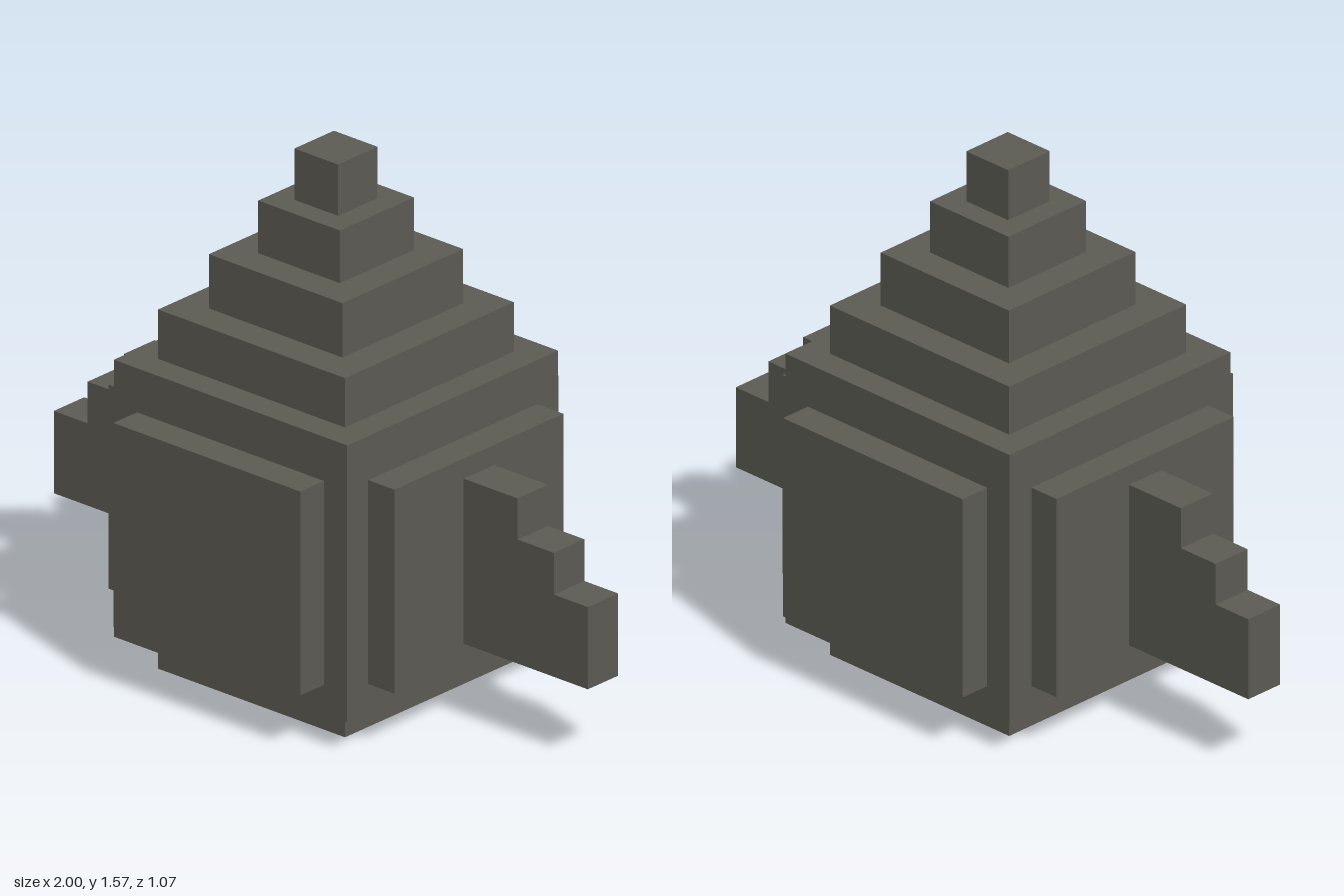
import * as THREE from 'three';

export function createModel() {
  const model = new THREE.Group();
  const stone = new THREE.MeshStandardMaterial({ color: 0x5c5b54 });
  stone.name = 'dark stone';

  // Box given by its lower and upper limits on each axis
  const block = (name, [x0, x1], [y0, y1], [z0, z1], parent = model) => {
    const mesh = new THREE.Mesh(new THREE.BoxGeometry(x1 - x0, y1 - y0, z1 - z0), stone);
    mesh.name = name;
    mesh.position.set((x0 + x1) / 2, (y0 + y1) / 2, (z0 + z1) / 2);
    parent.add(mesh);
  };

  // Square tiers from the base to the tip: name, half width, bottom, top
  const tiers = [
    ['base', 0.35, 0, 0.1],
    ['body', 0.437, 0.1, 0.942],
    ['lowerStep', 0.35, 0.942, 1.092],
    ['middleStep', 0.25, 1.092, 1.257],
    ['upperStep', 0.153, 1.257, 1.417],
    ['tip', 0.082, 1.417, 1.573],
  ];
  for (const [name, h, y0, y1] of tiers) block(name, [-h, h], [y0, y1], [-h, h]);

  // Raised panels on the four sides
  const panelY = [0.188, 0.808];
  block('frontPanel', [-0.35, 0.35], panelY, [0.437, 0.535]);
  block('backPanel', [-0.35, 0.35], panelY, [-0.535, -0.437]);
  block('leftPanel', [0.437, 0.535], panelY, [-0.35, 0.35]);
  block('rightPanel', [-0.535, -0.437], panelY, [-0.35, 0.35]);

  // Stepped wings, extruded from a stair outline
  const outline = [
    [0.535, 0.245], [1, 0.245], [1, 0.495], [0.873, 0.495],
    [0.873, 0.622], [0.737, 0.622], [0.737, 0.747], [0.535, 0.747],
  ].map(([x, y]) => new THREE.Vector2(x, y));
  const wingGeometry = new THREE.ExtrudeGeometry(new THREE.Shape(outline), { depth: 0.126, bevelEnabled: false });
  wingGeometry.translate(0, 0, -0.063);
  for (const [name, turn] of [['leftWing', 0], ['rightWing', Math.PI]]) {
    const wing = new THREE.Mesh(wingGeometry, stone);
    wing.name = name;
    wing.rotation.y = turn;
    model.add(wing);
  }

  return model;
}
